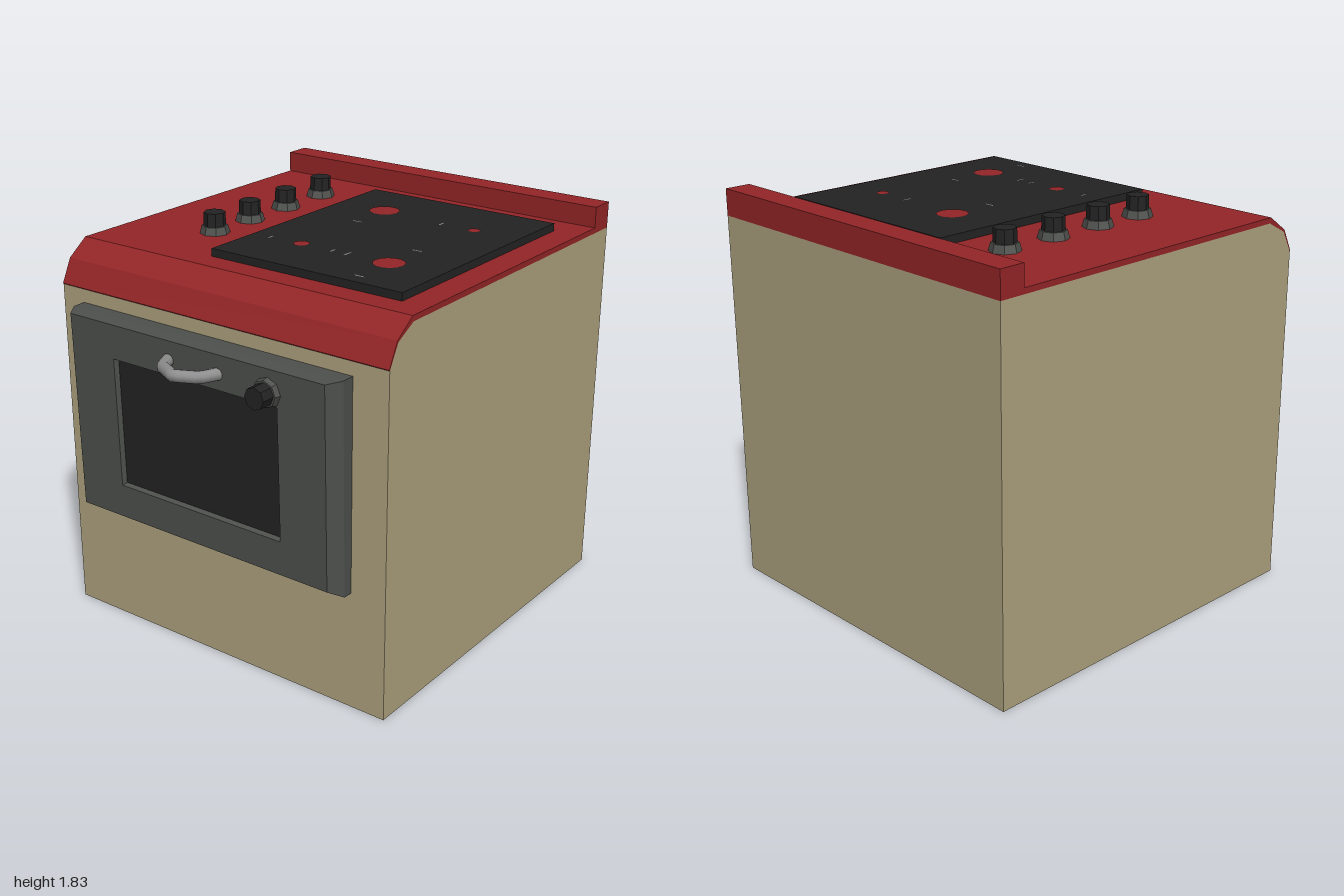
import * as THREE from 'three';

const paint = (name, color, extra = {}) => {
  const m = new THREE.MeshStandardMaterial({ color, ...extra });
  m.name = name;
  return m;
};

export function createModel() {
  const stove = new THREE.Group();
  stove.name = 'stove';

  const beige = paint('beige enamel', 0xada27e);
  const red = paint('red enamel', 0x942527);
  const grey = paint('dark grey metal', 0x4e504d, { flatShading: true });
  const black = paint('black glass', 0x232323, { flatShading: true });
  const silver = paint('silver handle', 0x8c8c8c);
  const ringGrey = paint('burner ring grey', 0x777777);

  const add = (name, geometry, material, x = 0, y = 0, z = 0, parent = stove) => {
    const mesh = new THREE.Mesh(geometry, material);
    mesh.name = name;
    mesh.position.set(x, y, z);
    parent.add(mesh);
    return mesh;
  };

  // Side profile given as [z, y], swept across the full width
  const W = 0.865;
  const sweep = (points) => {
    const shape = new THREE.Shape(points.map(([z, y]) => new THREE.Vector2(z, y)));
    const g = new THREE.ExtrudeGeometry(shape, { depth: 2 * W, bevelEnabled: false });
    return g.rotateY(-Math.PI / 2).translate(W, 0, 0);
  };

  // Cabinet with rounded front shoulder
  add('cabinet', sweep([[-1, 0], [0.73, 0], [0.73, 1.556], [0.676, 1.656], [0.575, 1.71], [-1, 1.71]]), beige);

  // Red top: rear ledge, flat surface and front shoulder skin
  add('topCover', sweep([
    [-1, 1.71], [0.575, 1.71], [0.676, 1.656], [0.73, 1.556],
    [0.733, 1.56], [0.682, 1.663], [0.582, 1.735],
    [-0.88, 1.735], [-0.88, 1.83], [-1, 1.83],
  ]), red);

  // Glass cooktop
  add('cooktop', new THREE.BoxGeometry(0.97, 0.036, 1.2), black, 0.255, 1.752, -0.13);

  // Burners: red centre, dashed outer ring and a few wider marks
  const flatArc = (inner, outer, start, sweepAngle) =>
    new THREE.RingGeometry(inner, outer, 4, 1, start, sweepAngle).rotateX(-Math.PI / 2);
  const N = 0.5 * Math.PI, S = 1.5 * Math.PI, L = Math.PI, R = 0;
  const burners = [
    { x: 0.025, z: -0.44, dot: 0.07, ring: 0.22, marks: [S] },
    { x: 0.52, z: -0.413, dot: 0.028, ring: 0.175, marks: [L] },
    { x: 0.035, z: 0.193, dot: 0.035, ring: 0.17, marks: [L, R] },
    { x: 0.488, z: 0.195, dot: 0.07, ring: 0.215, marks: [L, N, S] },
  ];
  for (const b of burners) {
    const burner = new THREE.Group();
    burner.name = 'burner';
    burner.position.set(b.x, 1.773, b.z);
    stove.add(burner);
    add('burnerCentre', new THREE.CircleGeometry(b.dot, 14).rotateX(-Math.PI / 2), red, 0, 0, 0, burner);
    for (let i = 0; i < 30; i++) {
      const a = (i / 30) * Math.PI * 2;
      add('ringDash', flatArc(b.ring, b.ring + 0.004, a, 0.08), ringGrey, 0, 0, 0, burner);
    }
    for (const a of b.marks) {
      add('ringMark', flatArc(b.ring - 0.012, b.ring + 0.004, a - 0.12, 0.24), ringGrey, 0, 0, 0, burner);
    }
  }

  // Octagonal knob on a flared collar, standing on y = 0
  const makeKnob = (name) => {
    const knob = new THREE.Group();
    knob.name = name;
    add('knobCollar', new THREE.CylinderGeometry(0.058, 0.068, 0.035, 8), grey, 0, 0.0175, 0, knob);
    add('knobGrip', new THREE.CylinderGeometry(0.048, 0.05, 0.06, 8), black, 0, 0.065, 0, knob);
    stove.add(knob);
    return knob;
  };
  for (const z of [-0.585, -0.315, -0.053, 0.192]) {
    makeKnob('burnerKnob').position.set(-0.45, 1.735, z);
  }
  const ovenKnob = makeKnob('ovenKnob');
  ovenKnob.rotation.x = Math.PI / 2;
  ovenKnob.position.set(0.375, 1.39, 0.845);

  // Oven door: rectangles [x0, x1, y0, y1, z] joined from wall to window recess
  const tilt = (y) => (y - 1.4) * 0.018;
  const loops = [
    [-0.745, 0.695, 0.545, 1.495, 0.725],
    [-0.745, 0.695, 0.545, 1.495, 0.79],
    [-0.70, 0.655, 0.585, 1.49, 0.855],
    [-0.46, 0.42, 0.74, 1.335, 0.855],
    [-0.45, 0.41, 0.75, 1.325, 0.825],
  ].map(([x0, x1, y0, y1, z]) =>
    [[x0, y0], [x1, y0], [x1, y1], [x0, y1]].map(([x, y]) => [x, y, z > 0.73 ? z + tilt(y) : z]));
  const corners = [];
  for (let i = 0; i < loops.length - 1; i++) {
    for (let j = 0; j < 4; j++) {
      const k = (j + 1) % 4;
      const [a, b, c, d] = [loops[i][j], loops[i][k], loops[i + 1][k], loops[i + 1][j]];
      corners.push(...a, ...b, ...c, ...a, ...c, ...d);
    }
  }
  const door = new THREE.BufferGeometry();
  door.setAttribute('position', new THREE.Float32BufferAttribute(corners, 3));
  door.computeVertexNormals();
  add('ovenDoor', door, grey);

  // Door window
  const pane = add('ovenWindow', new THREE.BoxGeometry(0.875, 0.585, 0.008), black, -0.02, 1.0375, 0.822);
  pane.rotation.x = 0.018;

  // Bowed door handle, built from straight bends
  const path = new THREE.CurvePath();
  const bends = [[-0.15, 0.845], [-0.115, 0.925], [-0.015, 0.973], [0.085, 0.925], [0.12, 0.845]]
    .map(([x, z]) => new THREE.Vector3(x, 1.405, z));
  for (let i = 0; i < bends.length - 1; i++) path.add(new THREE.LineCurve3(bends[i], bends[i + 1]));
  add('doorHandle', new THREE.TubeGeometry(path, 16, 0.027, 10), silver);

  return stove;
}
